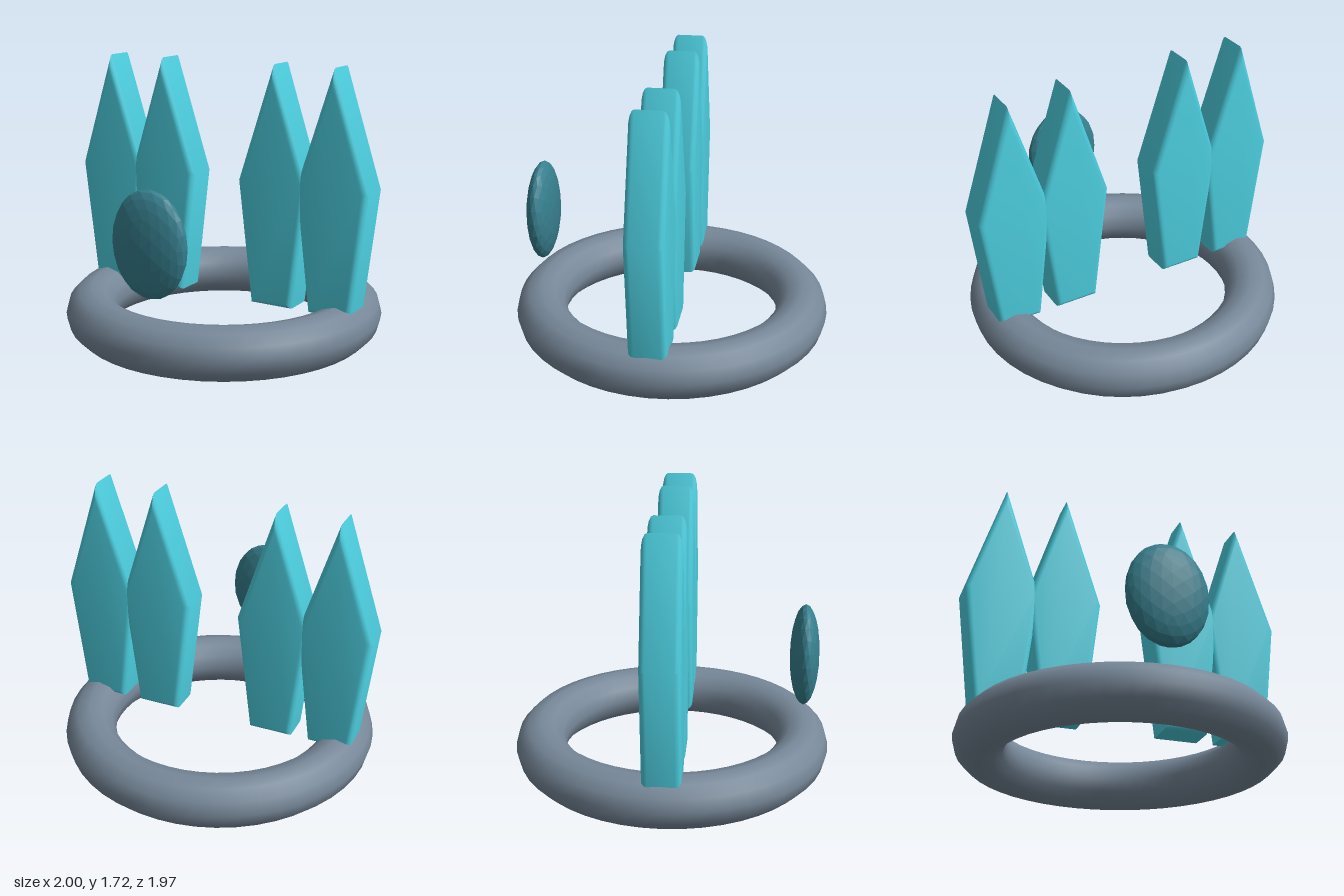
import * as THREE from 'three';
import { toCreasedNormals } from 'three/addons/utils/BufferGeometryUtils.js';

const material = (color, flatShading = false) =>
  new THREE.MeshStandardMaterial({ color, flatShading });

// Blade outline, counter-clockwise, relative to its centre line
const OUTLINE = [[-0.137, 0.255], [0.137, 0.255], [0.228, 1.01], [0, 1.715], [-0.228, 1.01]]
  .map(([x, y]) => new THREE.Vector2(x, y));

// Shrinks the outline evenly by d, keeping mitred corners
function inset(points, d) {
  const n = points.length;
  const normals = points.map((p, i) => {
    const e = points[(i + 1) % n].clone().sub(p).normalize();
    return new THREE.Vector2(-e.y, e.x);
  });
  return points.map((p, i) => {
    const a = normals[(i + n - 1) % n], b = normals[i];
    return p.clone().addScaledVector(a.clone().add(b), d / (1 + a.dot(b)));
  });
}

// Thick blade with rounded rims, lofted from inset outlines along z
function bladeGeometry(halfDepth, bevel, steps) {
  const n = OUTLINE.length, positions = [], index = [], rings = [];
  for (let i = 0; i <= steps; i++) {
    const a = (i / steps) * Math.PI / 2;
    rings.push([-halfDepth + bevel * (1 - Math.cos(a)), bevel * (1 - Math.sin(a))]);
  }
  for (let i = steps; i >= 0; i--) rings.push([-rings[i][0], rings[i][1]]);
  for (const [z, d] of rings) for (const p of inset(OUTLINE, d)) positions.push(p.x, p.y, z);
  for (let r = 0; r < rings.length - 1; r++) {
    for (let i = 0; i < n; i++) {
      const a = r * n + i, b = r * n + (i + 1) % n;
      index.push(a, b, b + n, a, b + n, a + n);
    }
  }
  // Flat front and back faces
  const last = (rings.length - 1) * n;
  for (let i = 1; i < n - 1; i++) {
    index.push(0, i + 1, i, last, last + i, last + i + 1);
  }
  const geometry = new THREE.BufferGeometry();
  geometry.setAttribute('position', new THREE.Float32BufferAttribute(positions, 3));
  geometry.setIndex(index);
  return toCreasedNormals(geometry, 0.5);
}

export function createModel() {
  const group = new THREE.Group();
  const add = (name, geometry, mat) => {
    const mesh = new THREE.Mesh(geometry, mat);
    mesh.name = name;
    group.add(mesh);
    return mesh;
  };

  // Round band lying on the ground
  const ring = add('ring', new THREE.TorusGeometry(0.827, 0.16, 12, 48), material(0x778899));
  ring.rotation.x = -Math.PI / 2;
  ring.position.y = 0.16;

  // Two pairs of pointed blades standing across the middle
  const blade = bladeGeometry(0.114, 0.035, 4);
  const bladeMaterial = material(0x4dd0e1);
  for (const [side, sign] of [['left', 1], ['right', -1]]) {
    add(`${side}InnerBlade`, blade, bladeMaterial).position.x = sign * 0.386;
    add(`${side}OuterBlade`, blade, bladeMaterial).position.x = sign * 0.772;
  }

  // Faceted oval gem hovering above the front of the ring
  const gem = add('gem', new THREE.IcosahedronGeometry(1, 3), material(0x37808f, true));
  gem.scale.set(0.247, 0.318, 0.09);
  gem.position.set(0, 0.755, 0.82);

  return group;
}
